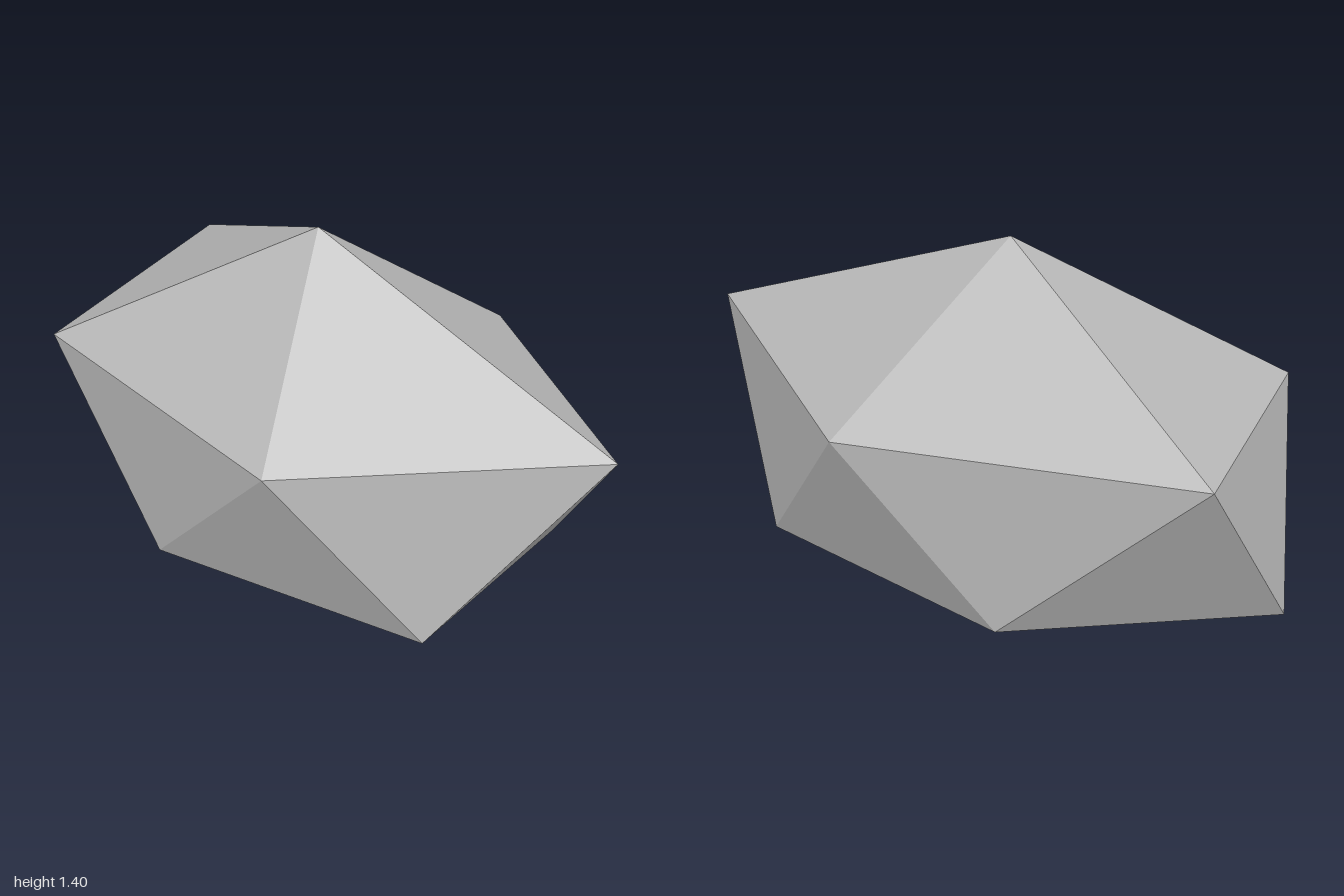
import * as THREE from 'three';

// Two poles joined by two staggered five-point rings
const TOP = [-0.06, 1.4, 0];
const BOTTOM = [-0.06, 0, 0];
const UPPER = [[1, 0.99, 0], [0.21, 0.925, 0.6], [-0.82, 0.95, 0.4], [-0.91, 0.985, -0.45], [0.21, 0.93, -0.61]];
const LOWER = [[0.61, 0.385, 0.36], [-0.29, 0.41, 0.52], [-1, 0.35, 0], [-0.3, 0.395, -0.55], [0.61, 0.385, -0.35]];

export function createModel() {
  const group = new THREE.Group();
  group.name = 'rock';
  const stone = new THREE.MeshStandardMaterial({ color: 0xb8b8b8, flatShading: true });
  stone.name = 'stone grey';

  // Cap, two alternating side facets and base for each fifth
  const points = [];
  for (let i = 0; i < 5; i++) {
    const j = (i + 1) % 5;
    points.push(
      TOP, UPPER[j], UPPER[i],
      UPPER[i], UPPER[j], LOWER[i],
      LOWER[i], UPPER[j], LOWER[j],
      BOTTOM, LOWER[i], LOWER[j],
    );
  }
  const geometry = new THREE.BufferGeometry();
  geometry.setAttribute('position', new THREE.Float32BufferAttribute(points.flat(), 3));
  geometry.computeVertexNormals();

  const body = new THREE.Mesh(geometry, stone);
  body.name = 'rockBody';
  group.add(body);
  return group;
}
